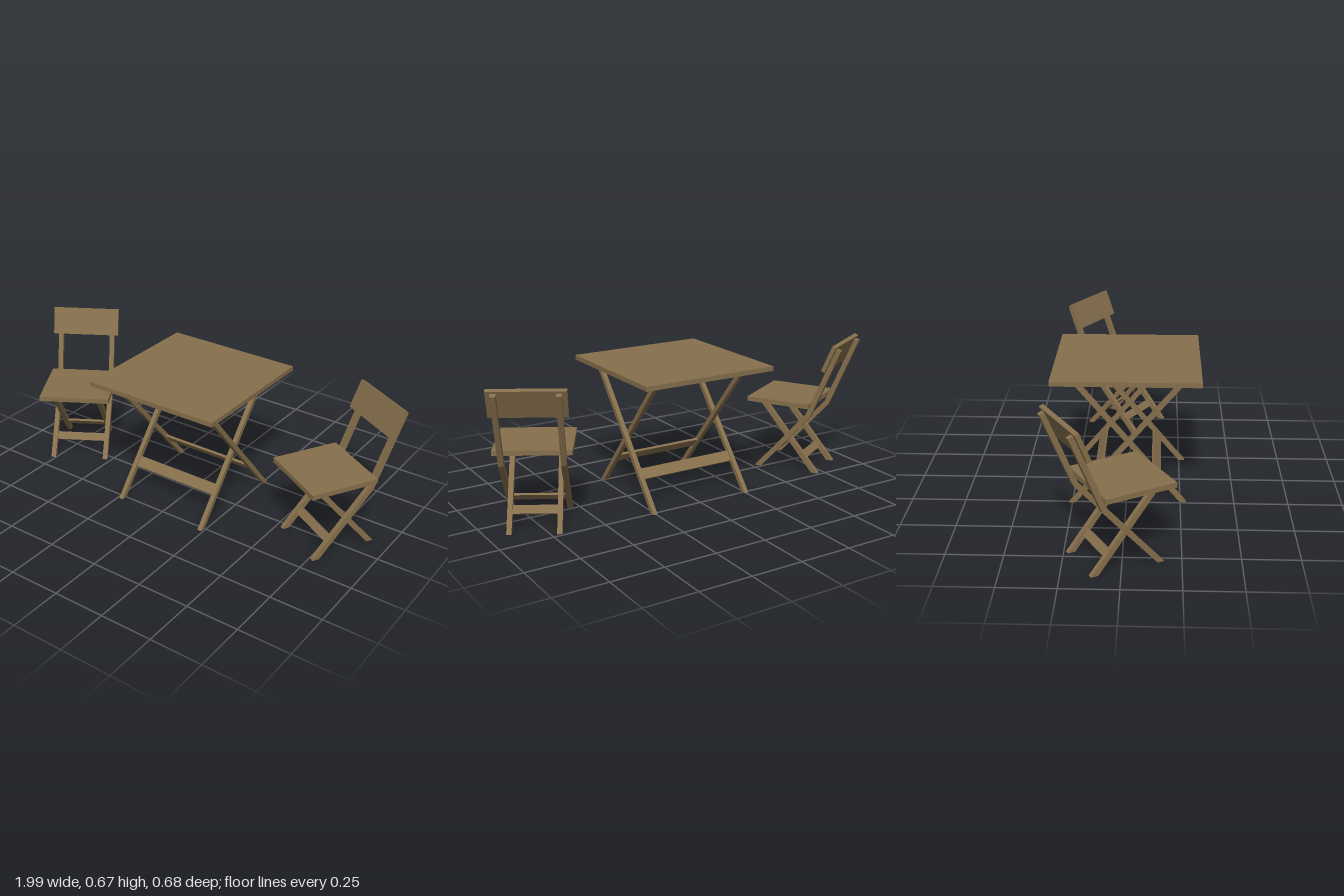
import * as THREE from 'three';

const wood = new THREE.MeshStandardMaterial({ color: 0x866f4c, flatShading: true });

// Side profile given as [z, y] points, extruded across x from x0 to x1
function profile(name, points, x0, x1) {
  const shape = new THREE.Shape(points.map(([z, y]) => new THREE.Vector2(z, y)));
  const geo = new THREE.ExtrudeGeometry(shape, { depth: x1 - x0, bevelEnabled: false });
  geo.rotateY(-Math.PI / 2).translate(x1, 0, 0);
  const mesh = new THREE.Mesh(geo, wood);
  mesh.name = name;
  return mesh;
}

// Board centred on (z, y), tilted about x
function board(name, w, h, d, y, z, tilt = 0) {
  const mesh = new THREE.Mesh(new THREE.BoxGeometry(w, h, d), wood);
  mesh.name = name;
  mesh.position.set(0, y, z);
  mesh.rotation.x = tilt;
  return mesh;
}

// The same profile on the left and right
function pair(group, name, points, inner, outer) {
  group.add(profile(name + 'Left', points, inner, outer));
  group.add(profile(name + 'Right', points, -outer, -inner));
}

// Straight slanted leg cut level at both ends
const slant = (zBottom, zTop, width, top) =>
  [[zBottom, 0], [zTop, top], [zTop - width, top], [zBottom - width, 0]];

function createTable() {
  const table = new THREE.Group();
  table.name = 'table';
  const lean = Math.atan(0.84);
  table.add(board('tableTop', 0.672, 0.022, 0.672, 0.616, 0));
  // Crossed leg frames, one inside the other
  pair(table, 'innerLeg', slant(0.277, -0.231, 0.029, 0.606), 0.22, 0.242);
  pair(table, 'outerLeg', slant(-0.237, 0.271, 0.029, 0.606), 0.242, 0.264);
  // Stretchers lie in the plane of their frame
  table.add(board('frontStretcher', 0.44, 0.053, 0.012, 0.148, 0.138, -lean));
  table.add(board('backStretcher', 0.486, 0.053, 0.012, 0.148, -0.127, lean));
  return table;
}

function createChair(name) {
  const chair = new THREE.Group();
  chair.name = name;
  const lean = Math.atan(0.85), recline = Math.atan(0.408);
  chair.add(board('seat', 0.346, 0.023, 0.324, 0.3565, 0));
  // Bent legs that carry on up as the back posts
  pair(chair, 'backPost', [
    [0.124, 0], [-0.142, 0.31], [-0.282, 0.653],
    [-0.305, 0.644], [-0.164, 0.297], [0.091, 0],
  ], 0.122, 0.146);
  // Straight legs from the seat front to the rear floor
  pair(chair, 'seatLeg', slant(-0.173, 0.119, 0.033, 0.346), 0.098, 0.121);
  chair.add(board('frontStretcher', 0.244, 0.04, 0.011, 0.081, 0.038, -lean));
  chair.add(board('backStretcher', 0.196, 0.04, 0.011, 0.081, -0.121, lean));
  // Backrest lies on the front of the posts
  chair.add(board('backrest', 0.335, 0.136, 0.02, 0.6037, -0.2525, -recline));
  return chair;
}

export function createModel() {
  const model = new THREE.Group();
  model.name = 'foldingTableAndChairs';
  model.add(createTable());
  // Two chairs turned in towards the table
  for (const side of [1, -1]) {
    const chair = createChair(side > 0 ? 'leftChair' : 'rightChair');
    chair.position.set(side * 0.708, 0, -0.002);
    chair.rotation.y = -side * Math.PI / 6;
    model.add(chair);
  }
  return model;
}
